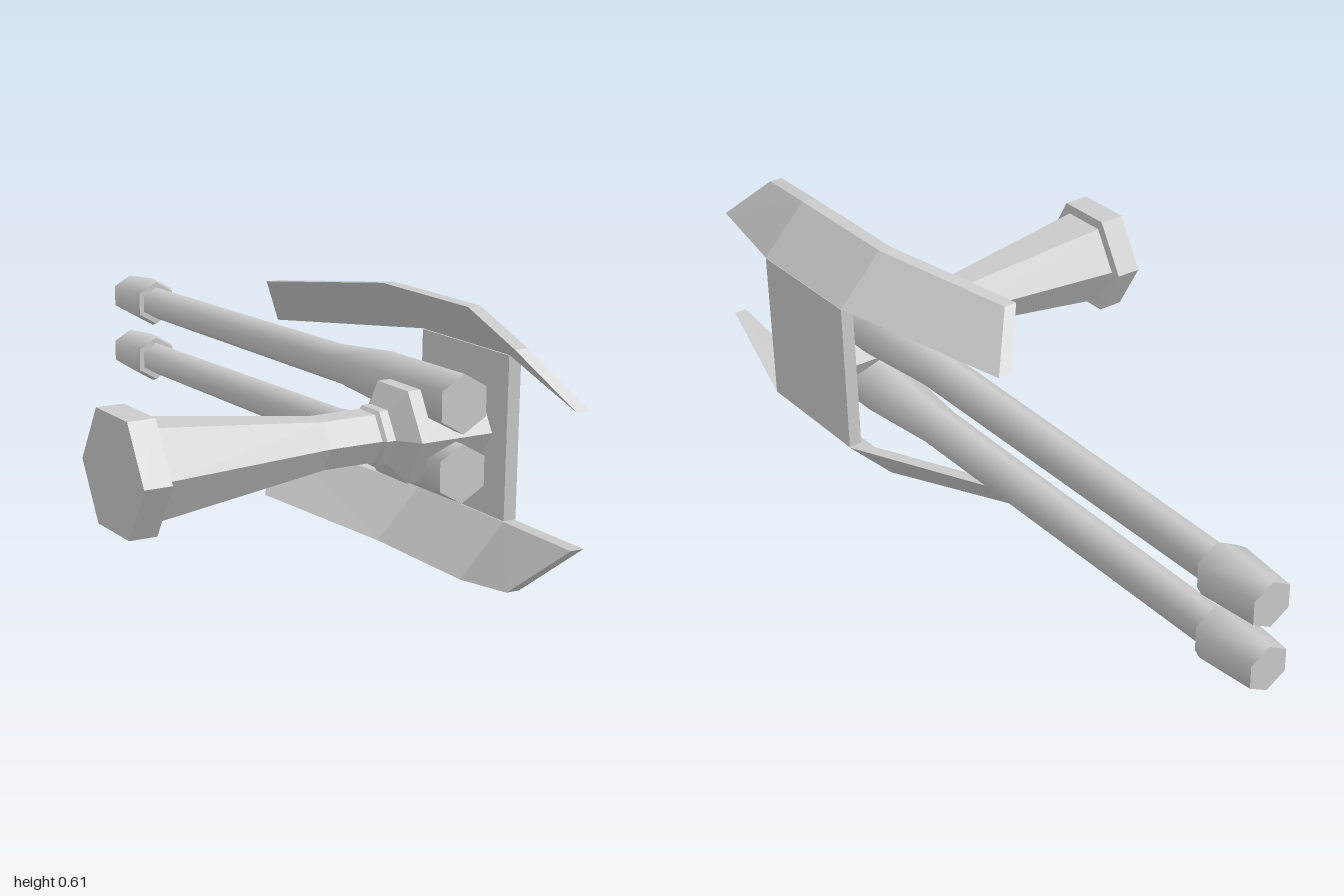
import * as THREE from 'three';
import { toCreasedNormals } from 'three/addons/utils/BufferGeometryUtils.js';

const smooth = new THREE.MeshStandardMaterial({ color: 0xcccccc });
const flat = new THREE.MeshStandardMaterial({ color: 0xcccccc, flatShading: true });

// Six-sided turned part from [radius, distance along axis] pairs
function hexLathe(profile) {
  return new THREE.LatheGeometry(profile.map(([r, t]) => new THREE.Vector2(r, t)), 6);
}

// Bent armour plate: four-cornered sections joined front to back
function wingGeometry(mirror) {
  const thick = 0.032, height = 0.605;
  // per section: lower corner x, y, z, then upper corner x, y, z
  const sections = [
    [0.36, 0.447, 1, 0.292, 0.56, 0.88],
    [0.45, 0.49, 0.65, 0.338, 0.605, 0.65],
    [0.45, 0.49, 0.32, 0.338, 0.605, 0.32],
    [0.312, 0.45, -0.1, 0.23, 0.565, -0.015],
  ].map(([ax, ay, az, bx, by, bz]) => [
    [ax, ay, az], [bx, by, bz], [bx - thick, by, bz], [ax - thick, ay, az],
  ]);
  const pos = [];
  const tri = (a, b, c) => {
    for (const p of mirror ? [a, c, b] : [a, b, c]) pos.push(p[0], mirror ? height - p[1] : p[1], p[2]);
  };
  const quad = (a, b, c, d) => { tri(a, b, c); tri(a, c, d); };
  for (let s = 0; s < sections.length - 1; s++) {
    const a = sections[s], b = sections[s + 1];
    for (let i = 0; i < 4; i++) {
      const j = (i + 1) % 4;
      quad(a[i], b[i], b[j], a[j]);
    }
  }
  quad(...sections[0]);
  quad(...[...sections[sections.length - 1]].reverse());
  const g = new THREE.BufferGeometry();
  g.setAttribute('position', new THREE.Float32BufferAttribute(pos, 3));
  g.computeVertexNormals();
  return g;
}

export function createModel() {
  const group = new THREE.Group();
  const add = (name, geometry, material, x = 0, y = 0, z = 0) => {
    const mesh = new THREE.Mesh(geometry, material);
    mesh.name = name;
    mesh.position.set(x, y, z);
    group.add(mesh);
    return mesh;
  };

  // Mounting arm with end flange, collar and hub
  const arm = hexLathe([
    [0, -0.45], [0.145, -0.45], [0.145, -0.385], [0.117, -0.385],
    [0.062, 0.04], [0.062, 0.17], [0.07, 0.178], [0.07, 0.2],
    [0.12, 0.235], [0.12, 0.43], [0, 0.43],
  ]).rotateZ(-Math.PI / 2);
  add('mountingArm', arm, flat, 0, 0.3, 0.477).rotation.z = 0.011;

  // Twin barrels with flared muzzles, tilted slightly down to the rear
  const barrel = toCreasedNormals(hexLathe([
    [0, 0], [0.067, 0], [0.067, 0.29], [0.048, 0.5], [0.043, 1.46],
    [0.058, 1.46], [0.065, 1.48], [0.054, 1.62], [0, 1.62],
  ]).rotateX(-Math.PI / 2), 1.2);
  for (const [name, y] of [['upperBarrel', 0.385], ['lowerBarrel', 0.229]]) {
    add(name, barrel, smooth, 0.325, y, 0.62).rotation.x = -0.014;
  }

  // Side plate and the two bent wings it carries
  add('sidePlate', new THREE.BoxGeometry(0.032, 0.372, 0.33), flat, 0.434, 0.3025, 0.485);
  add('upperWing', wingGeometry(false), flat);
  add('lowerWing', wingGeometry(true), flat);

  return group;
}
